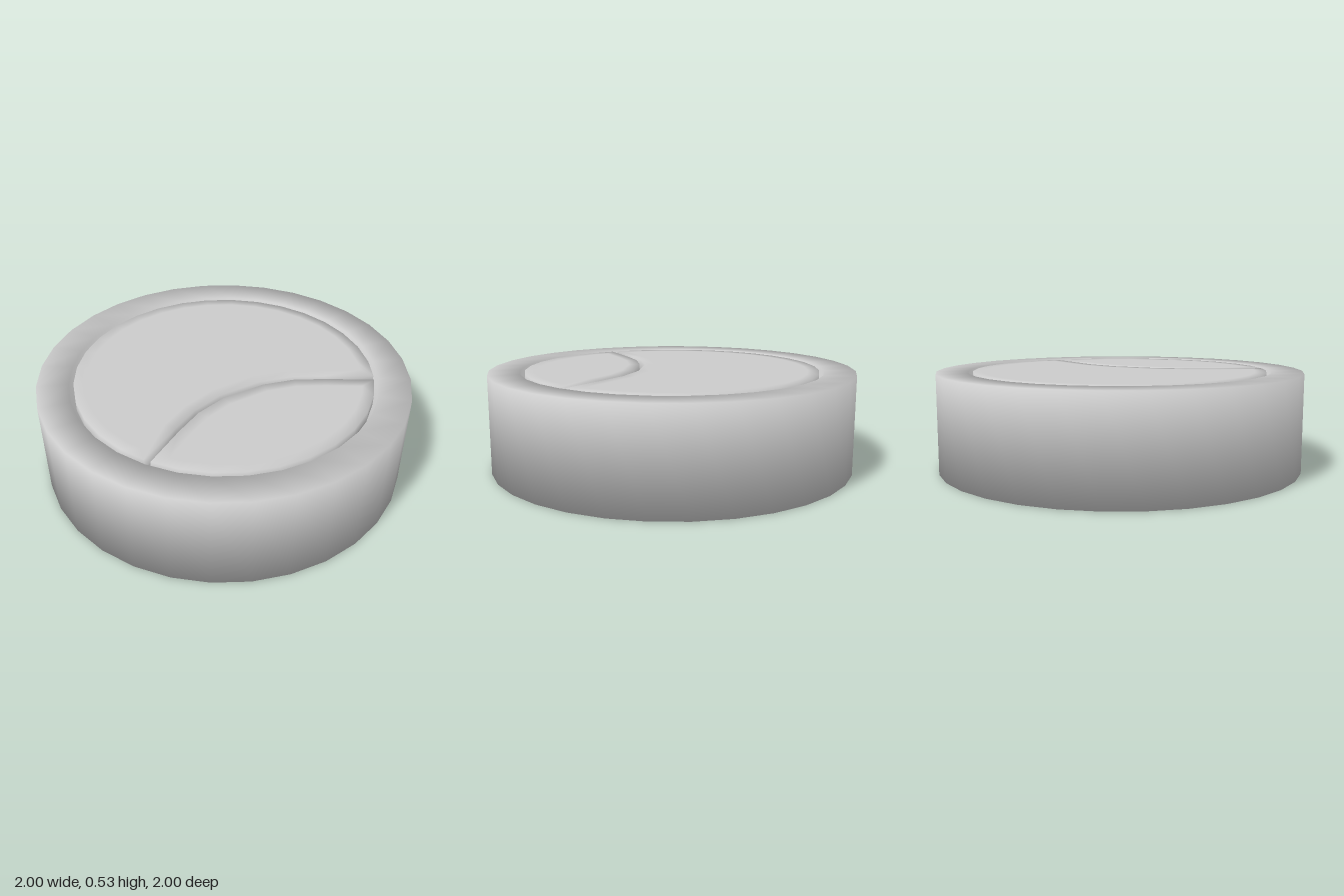
import * as THREE from 'three';

const SIDES = 32, H = 0.53, FLOOR = 0.47, PANEL_R = 0.805, EDGE = 0.06;
const material = new THREE.MeshStandardMaterial({ color: 0xcccccc });

// Turned body: each corner of the profile gets the bisecting normal, for soft shading
function turned(profile) {
  const pts = profile.map(([r, y]) => new THREE.Vector2(r, y));
  const geo = new THREE.LatheGeometry(pts, SIDES);
  const edgeNormals = pts.slice(1).map((p, i) => {
    const d = p.clone().sub(pts[i]).normalize();
    return new THREE.Vector2(d.y, -d.x);
  });
  const last = edgeNormals.length - 1;
  const normals = pts.map((p, i) =>
    edgeNormals[Math.max(i - 1, 0)].clone().add(edgeNormals[Math.min(i, last)]).normalize());
  for (let s = 0, k = 0; s <= SIDES; s++) {
    const a = (s / SIDES) * Math.PI * 2;
    for (const n of normals) geo.attributes.normal.setXYZ(k++, n.x * Math.sin(a), n.y, n.x * Math.cos(a));
  }
  return geo;
}

// Raised panel from a counter-clockwise outline (x, -z): wall, soft edge band, flat middle
function panel(outline) {
  const n = outline.length;
  const outward = (a, b) => new THREE.Vector2(b.y - a.y, a.x - b.x).normalize();
  const miters = outline.map((p, i) => {
    const a = outward(outline[(i + n - 1) % n], p), b = outward(p, outline[(i + 1) % n]);
    const m = a.clone().add(b).normalize();
    return { dir: m, scale: 1 / m.dot(a) };
  });
  const inset = outline.map((p, i) => p.clone().addScaledVector(miters[i].dir, -EDGE * miters[i].scale));
  const position = [], normal = [], index = [];
  const rings = [[outline, FLOOR, 1, 0], [outline, H, Math.SQRT1_2, Math.SQRT1_2], [inset, H, 0, 1]];
  for (const [ring, y, side, up] of rings) {
    ring.forEach((p, i) => {
      position.push(p.x, y, -p.y);
      normal.push(miters[i].dir.x * side, up, -miters[i].dir.y * side);
    });
  }
  for (let r = 0; r < 2; r++) {
    for (let i = 0; i < n; i++) {
      const a = r * n + i, b = r * n + (i + 1) % n;
      index.push(a, b, b + n, a, b + n, a + n);
    }
  }
  for (const f of THREE.ShapeUtils.triangulateShape(inset, [])) index.push(...f.map(i => i + 2 * n));
  const geo = new THREE.BufferGeometry();
  geo.setAttribute('position', new THREE.Float32BufferAttribute(position, 3));
  geo.setAttribute('normal', new THREE.Float32BufferAttribute(normal, 3));
  geo.setIndex(index);
  return geo;
}

// Points of the panel circle from step a to step b
function arc(a, b) {
  const out = [];
  for (let k = a; k <= b; k++) {
    const t = (k / SIDES) * Math.PI * 2;
    out.push(new THREE.Vector2(PANEL_R * Math.cos(t), PANEL_R * Math.sin(t)));
  }
  return out;
}

// Mirrors the right half of a divider into a full left-to-right curve
function divider(half) {
  const right = half.map(([x, z]) => new THREE.Vector2(x, -z));
  const left = half.map(([x, z]) => new THREE.Vector2(-x, -z));
  return [...left, ...right.reverse()];
}

export function createModel() {
  const group = new THREE.Group();
  const add = (name, geo) => {
    const mesh = new THREE.Mesh(geo, material);
    mesh.name = name;
    group.add(mesh);
  };

  // Round body with a rim around a shallow recess
  add('body', turned([[0, 0], [0.93, 0], [1, 0], [1, H], [0.83, H], [0.83, FLOOR], [0, FLOOR]]));

  // Two panels filling the recess, with a narrow groove around and between them
  const bigEdge = divider([[0.68, 0.43], [0.45, 0.3], [0.3, 0.22], [0.12, 0.17]]);
  add('mainPanel', panel([...bigEdge, ...arc(-2, 18)]));
  const smallEdge = divider([[0.66, 0.46], [0.44, 0.325], [0.29, 0.245], [0.12, 0.2]]);
  add('frontPanel', panel([...smallEdge.reverse(), ...arc(20, 28)]));

  return group;
}
